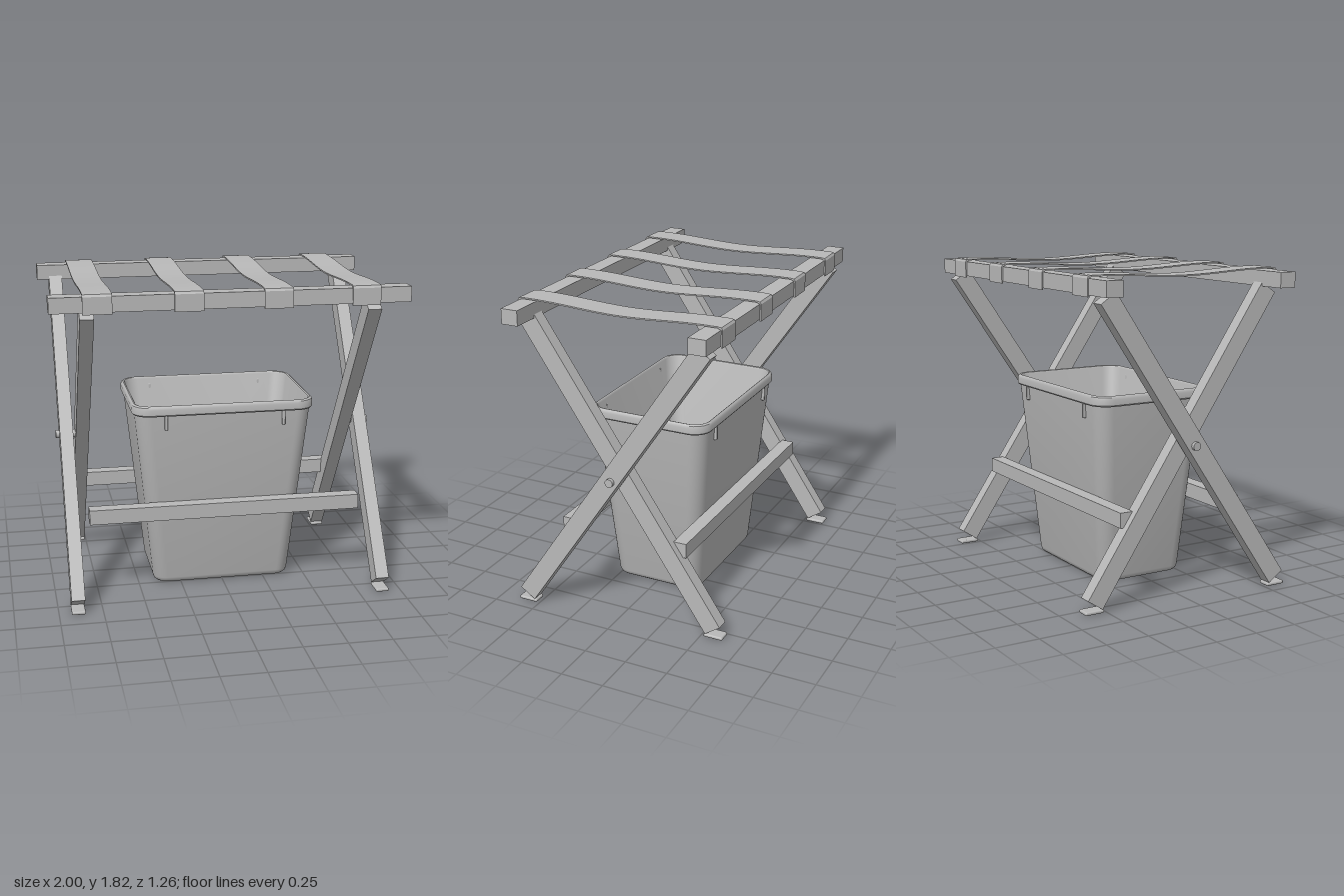
import * as THREE from 'three';
import { toCreasedNormals } from 'three/addons/utils/BufferGeometryUtils.js';
import { RoundedBoxGeometry } from 'three/addons/geometries/RoundedBoxGeometry.js';

const grey = new THREE.MeshStandardMaterial({ color: 0xb8b8b8 });
grey.name = 'grey';

function add(parent, name, geometry, x = 0, y = 0, z = 0) {
  const mesh = new THREE.Mesh(geometry, grey);
  mesh.name = name;
  mesh.position.set(x, y, z);
  parent.add(mesh);
  return mesh;
}

// Skin through rounded-rectangle rings, each [half width, half depth, corner radius, y]
function ringSkin(rings, steps = 8) {
  const positions = [], index = [];
  const count = 4 * (steps + 1);
  for (const [hx, hz, r, y] of rings) {
    for (let c = 0; c < 4; c++) {
      const sx = c === 0 || c === 3 ? 1 : -1;
      const sz = c < 2 ? 1 : -1;
      for (let s = 0; s <= steps; s++) {
        const a = (c + s / steps) * Math.PI / 2;
        positions.push(sx * (hx - r) + r * Math.cos(a), y, sz * (hz - r) + r * Math.sin(a));
      }
    }
  }
  for (let i = 0; i < rings.length - 1; i++) {
    for (let j = 0; j < count; j++) {
      const a = i * count + j, b = i * count + (j + 1) % count;
      index.push(a, a + count, b, b, a + count, b + count);
    }
  }
  const g = new THREE.BufferGeometry();
  g.setAttribute('position', new THREE.Float32BufferAttribute(positions, 3));
  g.setIndex(index);
  return toCreasedNormals(g, 0.6);
}

// Webbing strap: thin side profile that sags between the rails and folds over them
function strapGeometry(width) {
  const thick = 0.008, n = 24;
  const top = [], under = [];
  for (let i = 0; i <= n; i++) {
    const z = -0.58 + 1.16 * i / n;
    const y = 1.798 + 0.021 * THREE.MathUtils.smoothstep(Math.abs(z), 0, 0.52);
    top.push([z, y]);
    under.push([z, y - thick]);
  }
  const outline = [
    [-0.61, 1.707], [-0.61, 1.803], [-0.602, 1.816], ...top,
    [0.602, 1.816], [0.61, 1.803], [0.61, 1.707],
    [0.602, 1.707], [0.602, 1.803], ...under.reverse(),
    [-0.602, 1.803], [-0.602, 1.707],
  ];
  const shape = new THREE.Shape(outline.map(([z, y]) => new THREE.Vector2(z, y)));
  const g = new THREE.ExtrudeGeometry(shape, { depth: width, bevelEnabled: false });
  g.rotateY(Math.PI / 2).translate(-width / 2, 0, 0);
  return toCreasedNormals(g, 0.5);
}

function createFrame() {
  const frame = new THREE.Group();
  frame.name = 'foldingFrame';
  const tilt = 0.594;
  const leg = new THREE.BoxGeometry(0.078, 2.0, 0.108);
  const foot = new RoundedBoxGeometry(0.078, 0.02, 0.116, 3, 0.009);
  const pin = new THREE.CylinderGeometry(0.024, 0.024, 0.18, 24).rotateZ(Math.PI / 2);

  for (const side of [1, -1]) {
    const label = side > 0 ? 'left' : 'right';
    // Outer legs stand at the front, inner legs at the back
    for (const [kind, x, dir] of [['Outer', 0.89, 1], ['Inner', 0.797, -1]]) {
      add(frame, label + kind + 'Leg', leg, side * x, 0.88, dir * 0.013).rotation.x = -dir * tilt;
      add(frame, label + kind + 'Foot', foot, side * x, 0.01, dir * 0.574);
    }
    add(frame, label + 'PivotPin', pin, side * 0.86, 0.882, 0);
  }

  // Top rails and lower stretchers
  const rail = new THREE.BoxGeometry(2, 0.087, 0.1);
  const stretcher = new THREE.BoxGeometry(1.59, 0.086, 0.08);
  for (const dir of [1, -1]) {
    const label = dir > 0 ? 'front' : 'back';
    add(frame, label + 'Rail', rail, 0, 1.76, dir * 0.551);
    add(frame, label + 'Stretcher', stretcher, 0, 0.486, dir * 0.352);
  }
  return frame;
}

function createBin() {
  const bin = new THREE.Group();
  bin.name = 'bin';
  // Bottom, outer wall, rolled rim, inner wall, floor
  add(bin, 'binShell', ringSkin([
    [0, 0, 0, 0],
    [0.375, 0.24, 0.06, 0],
    [0.392, 0.257, 0.07, 0.005],
    [0.404, 0.268, 0.077, 0.016],
    [0.41, 0.274, 0.08, 0.035],
    [0.515, 0.355, 0.09, 1.058],
    [0.525, 0.365, 0.1, 1.058],
    [0.531, 0.371, 0.105, 1.066],
    [0.531, 0.371, 0.105, 1.098],
    [0.527, 0.367, 0.102, 1.111],
    [0.517, 0.357, 0.095, 1.119],
    [0.508, 0.352, 0.09, 1.116],
    [0.503, 0.347, 0.086, 1.106],
    [0.396, 0.26, 0.07, 0.045],
    [0.386, 0.25, 0.06, 0.022],
    [0, 0, 0, 0.022],
  ]));
  // Small hooks hanging below the rim
  const hook = new RoundedBoxGeometry(0.018, 0.1, 0.026, 2, 0.006);
  for (const x of [0.343, -0.343]) {
    for (const dir of [1, -1]) {
      add(bin, (dir > 0 ? 'front' : 'back') + 'Hook', hook, x, 1.025, dir * 0.355);
    }
  }
  return bin;
}

export function createModel() {
  const model = new THREE.Group();
  model.name = 'foldingRackWithBin';
  model.add(createFrame(), createBin());

  const straps = new THREE.Group();
  straps.name = 'straps';
  const strap = strapGeometry(0.16);
  for (const x of [-0.742, -0.247, 0.247, 0.742]) add(straps, 'strap', strap, x);
  model.add(straps);
  return model;
}
